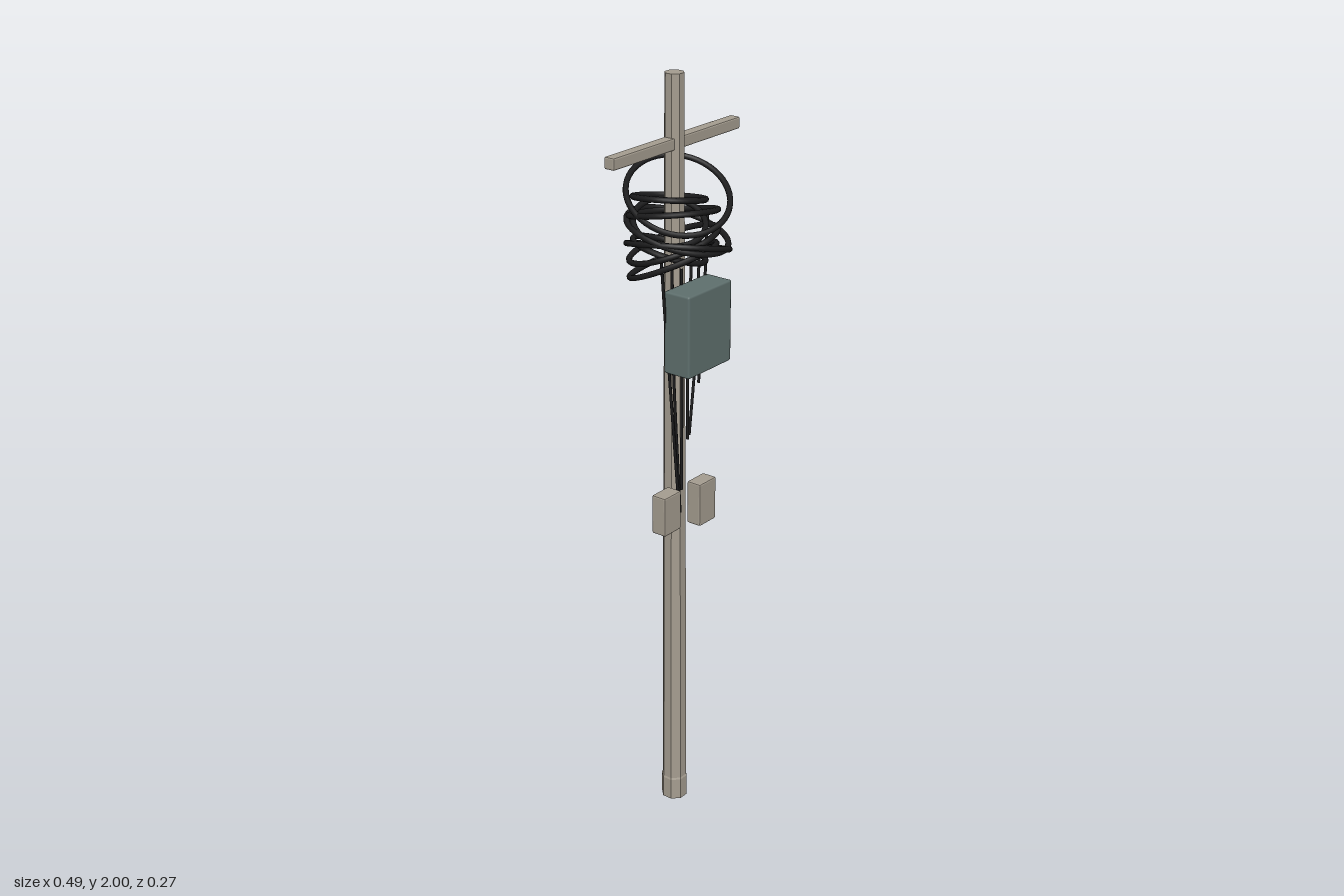
import * as THREE from 'three';
import { RoundedBoxGeometry } from 'three/addons/geometries/RoundedBoxGeometry.js';

const mat = (name, color) => {
  const m = new THREE.MeshStandardMaterial({ color });
  m.name = name;
  return m;
};

export function createModel() {
  const group = new THREE.Group();
  const concrete = mat('concrete', 0xa59d90);
  concrete.flatShading = true;
  const steel = mat('blue grey steel', 0x5f706e);
  const rubber = mat('black rubber', 0x1b1b1c);

  const add = (name, geometry, material, x = 0, y = 0, z = 0) => {
    const mesh = new THREE.Mesh(geometry, material);
    mesh.name = name;
    mesh.position.set(x, y, z);
    group.add(mesh);
    return mesh;
  };
  const box = (w, h, d, bevel) => new RoundedBoxGeometry(w, h, d, 1, bevel);

  // Tapered octagonal pole with a thicker foot
  const profile = [[0, 0], [0.035, 0], [0.035, 0.06], [0.033, 0.065], [0.0315, 0.57],
    [0.029, 1.0], [0.027, 1.37], [0.0245, 2], [0, 2]].map(([r, y]) => new THREE.Vector2(r, y));
  const pole = add('pole', new THREE.LatheGeometry(profile, 8), concrete);
  pole.rotation.y = Math.PI / 8;

  // Crossarm
  add('crossarm', box(0.486, 0.03, 0.03, 0.004), concrete, 0, 1.832, 0);

  // Equipment cabinet and the two small junction boxes
  add('cabinet', box(0.172, 0.212, 0.078, 0.006), steel, 0, 1.383, 0.073);
  add('rightJunctionBox', box(0.066, 0.106, 0.042, 0.004), concrete, -0.073, 0.894, 0.032);
  add('leftJunctionBox', box(0.068, 0.118, 0.042, 0.004), concrete, 0.073, 0.874, 0.032);

  // Loose cable loops: centre x, radius, height, slope along x, slope along z
  const loops = [
    [0.014, 0.126, 1.70, 0.32, -0.40],
    [0.014, 0.126, 1.57, -0.28, 0.14],
    [0.012, 0.124, 1.61, -0.08, -0.26],
    [-0.004, 0.108, 1.66, -0.14, 0.20],
    [-0.004, 0.108, 1.58, 0.20, 0.30],
    [-0.006, 0.106, 1.54, 0.12, 0.42],
    [-0.020, 0.088, 1.70, -0.20, 0.10],
    [-0.020, 0.088, 1.64, 0.25, -0.30],
    [-0.020, 0.088, 1.57, -0.25, -0.20],
  ];
  for (const [cx, r, y, sx, sz] of loops) {
    const points = [];
    for (let i = 0; i < 16; i++) {
      const a = (i / 16) * Math.PI * 2;
      const px = Math.cos(a) * r, pz = Math.sin(a) * r;
      points.push(new THREE.Vector3(px, sx * px + sz * pz, pz));
    }
    const path = new THREE.CatmullRomCurve3(points, true);
    add('cableLoop', new THREE.TubeGeometry(path, 48, 0.0075, 8, true), rubber, cx, y, 0);
  }

  // Thin drop wires running behind the cabinet
  const wires = [
    [[-0.10, 1.58, 0.038], [-0.085, 1.42, 0.038], [-0.07, 1.28, 0.038], [-0.036, 0.93, 0.040]],
    [[-0.058, 1.55, 0.038], [-0.052, 1.28, 0.038], [-0.030, 0.88, 0.042]],
    [[-0.020, 1.53, 0.038], [-0.018, 1.28, 0.038], [-0.022, 0.94, 0.040]],
    [[0.018, 1.53, 0.038], [0.006, 1.28, 0.038], [0.006, 1.07, 0.038]],
    [[0.05, 1.55, 0.038], [0.036, 1.28, 0.038], [0.012, 1.08, 0.038]],
    [[0.082, 1.64, 0.038], [0.075, 1.50, 0.038], [0.05, 1.21, 0.038]],
  ];
  for (const w of wires) {
    const path = new THREE.CatmullRomCurve3(w.map((p) => new THREE.Vector3(...p)));
    add('dropWire', new THREE.TubeGeometry(path, 16, 0.004, 6), rubber);
  }

  return group;
}
